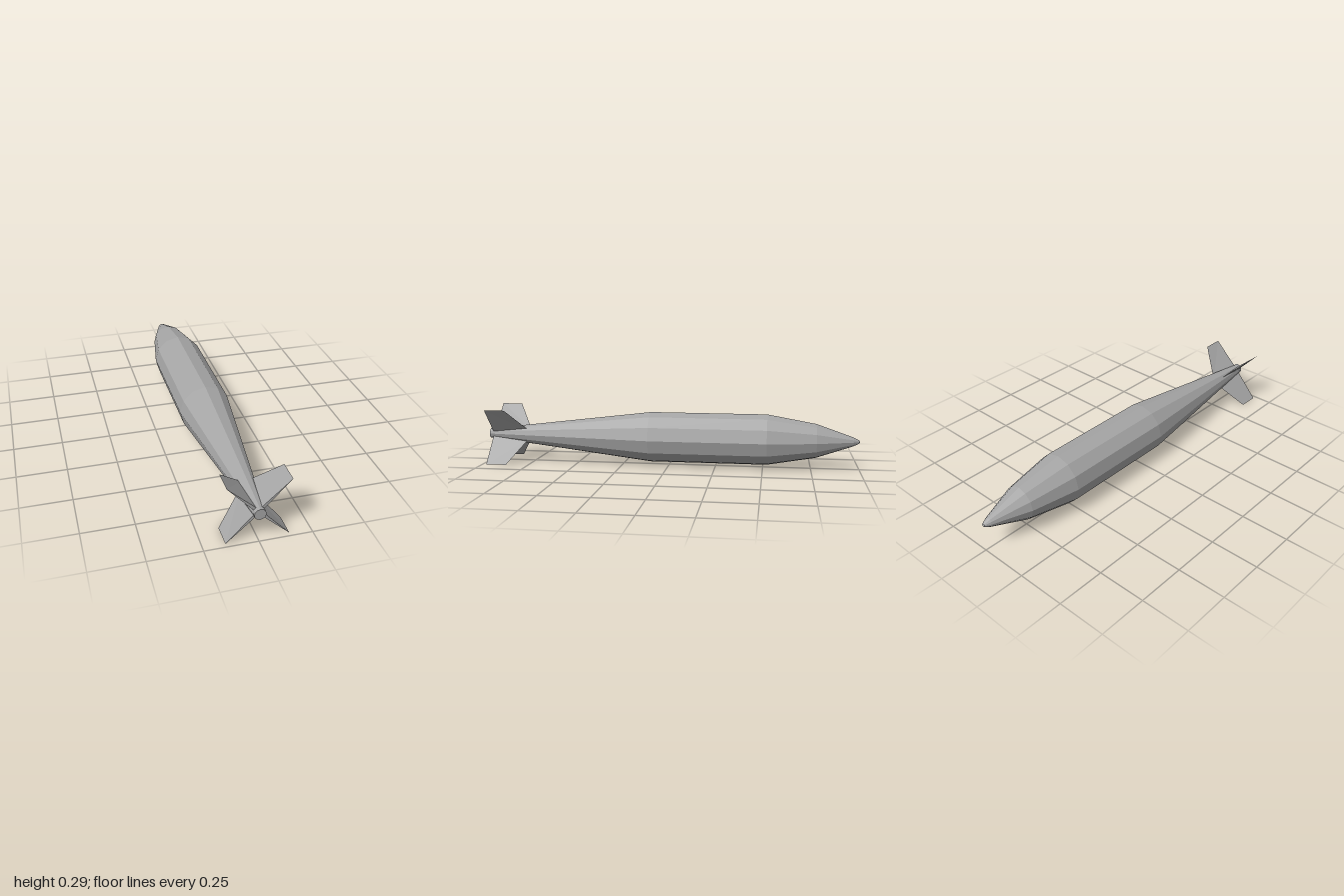
import * as THREE from 'three';

const AXIS_Y = 0.149;

// One fin: wedge with sharp leading edge and tip, thick trailing root
function finGeometry() {
  const t = 0.008;
  const leadRoot = [0.02, 0, 0.77], leadTip = [0.208, 0, 0.87], tailTip = [0.208, 0, 0.98];
  const rootA = [0.02, t, 0.98], rootB = [0.02, -t, 0.98];
  const faces = [
    [leadRoot, rootA, tailTip], [leadRoot, tailTip, leadTip],
    [leadRoot, tailTip, rootB], [leadRoot, leadTip, tailTip],
    [rootA, rootB, tailTip], [leadRoot, rootB, rootA],
  ];
  const geometry = new THREE.BufferGeometry();
  geometry.setAttribute('position', new THREE.Float32BufferAttribute(faces.flat(2), 3));
  geometry.computeVertexNormals();
  return geometry;
}

export function createModel() {
  const model = new THREE.Group();
  model.name = 'finnedBody';
  const grey = new THREE.MeshStandardMaterial({ color: 0xa6a6a6, flatShading: true, side: THREE.DoubleSide });
  grey.name = 'grey';

  // Twelve-sided hull: [radius, z] from nose to tail
  const profile = [
    [0, -1], [0.009, -0.995], [0.024, -0.965], [0.09, -0.775], [0.135, -0.52],
    [0.135, 0.1], [0.027, 0.985], [0, 0.985],
  ].map(([r, z]) => new THREE.Vector2(r, z));
  const hull = new THREE.Mesh(new THREE.LatheGeometry(profile, 12), grey);
  hull.name = 'hull';
  hull.rotation.x = Math.PI / 2;
  hull.position.y = AXIS_Y;
  model.add(hull);

  // Short tail cap
  const cap = new THREE.Mesh(new THREE.CylinderGeometry(0.028, 0.028, 0.02, 12), grey);
  cap.name = 'tailCap';
  cap.rotation.x = Math.PI / 2;
  cap.position.set(0, AXIS_Y, 0.99);
  model.add(cap);

  // Four tail fins in a cross
  const finShape = finGeometry();
  for (let i = 0; i < 4; i++) {
    const fin = new THREE.Mesh(finShape, grey);
    fin.name = 'tailFin' + (i + 1);
    fin.rotation.z = Math.PI / 4 + (i * Math.PI) / 2;
    fin.position.y = AXIS_Y;
    model.add(fin);
  }
  return model;
}
